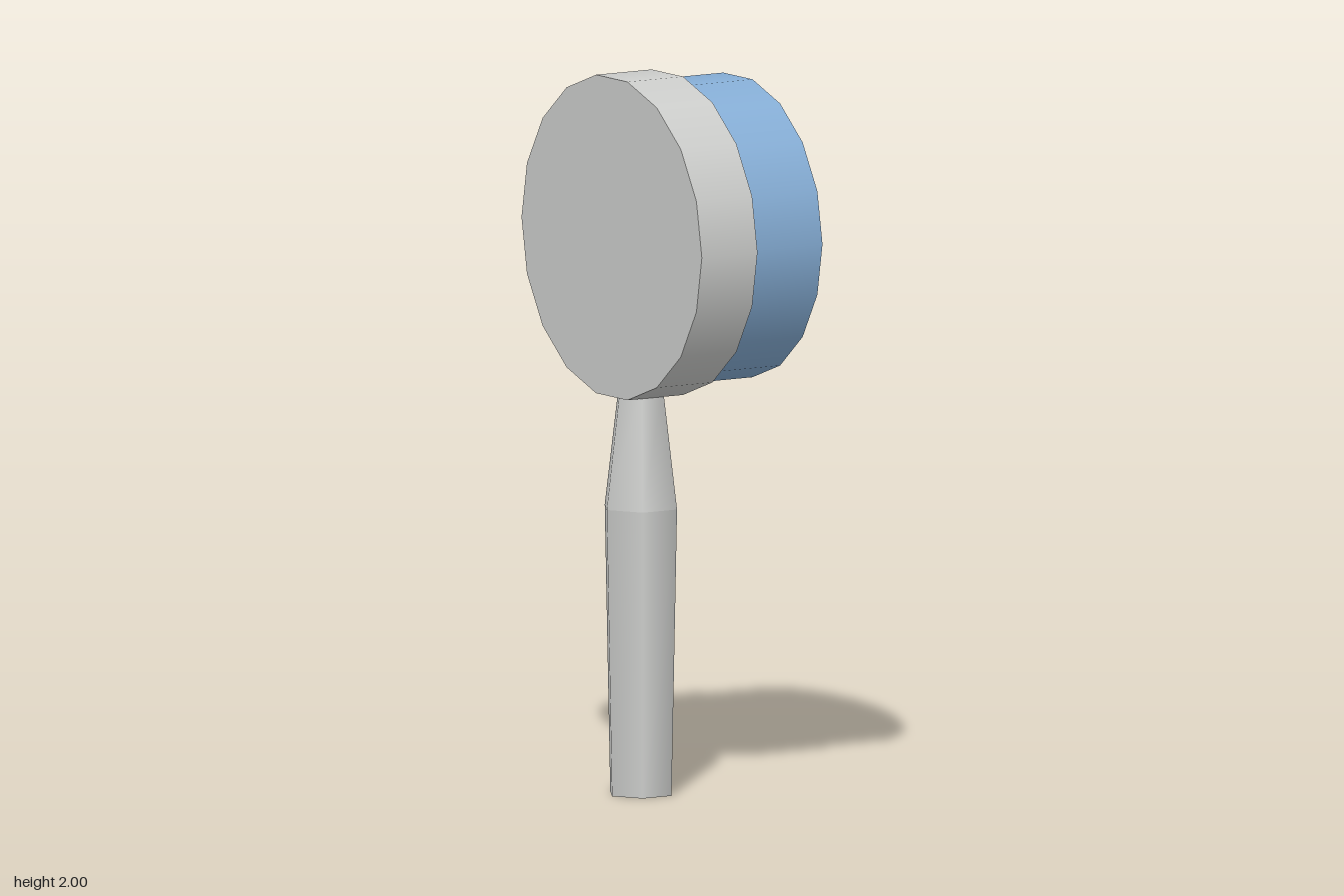
import * as THREE from 'three';

export function createModel() {
  const model = new THREE.Group();
  const gray = new THREE.MeshStandardMaterial({ color: 0xcccdcb });
  gray.name = 'light gray';
  const blue = new THREE.MeshStandardMaterial({ color: 0x86aed6 });
  blue.name = 'sky blue';

  // Eighteen-sided disc lying along x, slightly wider in z than in y
  function disc(name, material, x0, x1, y, ry, rz) {
    const geometry = new THREE.CylinderGeometry(1, 1, x1 - x0, 18)
      .rotateZ(-Math.PI / 2)
      .scale(1, ry, rz);
    const mesh = new THREE.Mesh(geometry, material);
    mesh.name = name;
    mesh.position.set((x0 + x1) / 2, y, 0);
    model.add(mesh);
  }
  disc('headBacking', gray, -0.195, -0.012, 1.556, 0.451, 0.457);
  disc('headPad', blue, -0.012, 0.22, 1.5575, 0.422, 0.429);

  // Six-sided handle: long grip, then a tapering neck reaching into the head
  const handle = new THREE.Group();
  handle.name = 'handle';
  handle.position.set(-0.11, 0, 0.017);
  function section(name, y0, y1, r0, r1, open) {
    const geometry = new THREE.CylinderGeometry(r1, r0, y1 - y0, 6, 1, open)
      .rotateY(Math.PI / 2);
    const mesh = new THREE.Mesh(geometry, gray);
    mesh.name = name;
    mesh.position.y = (y0 + y1) / 2;
    handle.add(mesh);
  }
  section('grip', 0, 0.8, 0.095, 0.112, false);
  section('neck', 0.8, 1.14, 0.112, 0.068, true);
  model.add(handle);

  return model;
}
